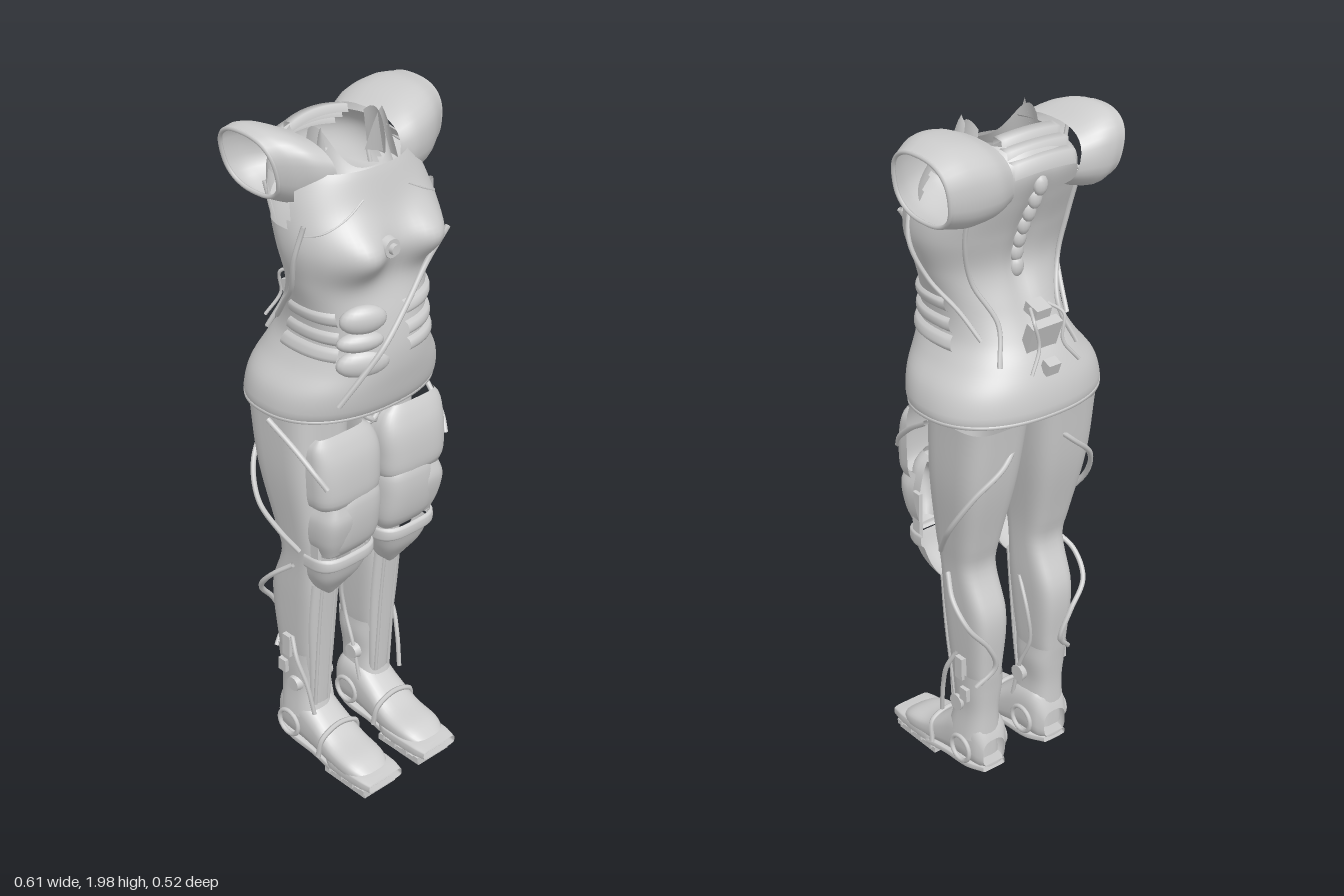
import * as THREE from 'three';

const shell = new THREE.MeshStandardMaterial({ color: 0xcccccc, side: THREE.DoubleSide });
shell.name = 'grey shell';
const MID = -0.035; // mirror plane of the body

function add(parent, name, geometry) {
  const m = new THREE.Mesh(geometry, shell);
  m.name = name;
  parent.add(m);
  return m;
}

// smooth interpolation of rows [t, a0, a1, b0, b1], t rising
function sample(rows, t) {
  let i = 0;
  while (i < rows.length - 2 && t > rows[i + 1][0]) i++;
  const p = rows[i], q = rows[i + 1], h = q[0] - p[0], f = (t - p[0]) / h;
  const before = rows[Math.max(i - 1, 0)], after = rows[Math.min(i + 2, rows.length - 1)];
  return [1, 2, 3, 4].map((k) => {
    const m0 = (q[k] - before[k]) / (q[0] - before[0]) * h;
    const m1 = (after[k] - p[k]) / (after[0] - p[0]) * h;
    const f2 = f * f, f3 = f2 * f;
    return (2 * f3 - 3 * f2 + 1) * p[k] + (f3 - 2 * f2 + f) * m0 + (3 * f2 - 2 * f3) * q[k] + (f3 - f2) * m1;
  });
}
const pw = (v, e) => Math.sign(v) * Math.abs(v) ** e;

// surface through fn(u, v), both 0..1
function grid(fn, nu, nv, closed = false, keep = () => true) {
  const pos = [], idx = [], cols = closed ? nu : nu + 1;
  for (let j = 0; j <= nv; j++) for (let i = 0; i < cols; i++) pos.push(...fn(i / nu, j / nv));
  for (let j = 0; j < nv; j++) for (let i = 0; i < nu; i++) {
    if (!keep((i + 0.5) / nu, (j + 0.5) / nv)) continue;
    const a = j * cols + i, b = j * cols + (i + 1) % cols, c = a + cols, d = b + cols;
    idx.push(a, c, b, b, c, d);
  }
  const g = new THREE.BufferGeometry();
  g.setAttribute('position', new THREE.Float32BufferAttribute(pos, 3));
  g.setIndex(idx);
  g.computeVertexNormals();
  return g;
}

// rounded cross-sections along an axis; half gives an open front plate
function loft(rows, { axis = 'y', e = 0.85, half = false, nu = 32, nv = 24, lean = 0 } = {}) {
  const t0 = rows[0][0], t1 = rows[rows.length - 1][0];
  return grid((u, v) => {
    const t = t0 + (t1 - t0) * v, [a0, a1, b0, b1] = sample(rows, t), w = u * Math.PI * (half ? 1 : 2);
    const a = (a0 + a1) / 2 + (a1 - a0) / 2 * pw(Math.cos(w), e);
    const b = half ? b0 + (b1 - b0) * pw(Math.sin(w), e) : (b0 + b1) / 2 + (b1 - b0) / 2 * pw(Math.sin(w), e);
    if (axis === 'y') return [a, t, b];
    if (axis === 'z') return [a, b, t];
    return [t + lean * (b - 1.89), b, a];
  }, nu, nv, !half);
}

function cable(parent, name, points, r = 0.006, closed = false) {
  const c = new THREE.CatmullRomCurve3(points.map((p) => new THREE.Vector3(...p)), closed);
  return add(parent, name, new THREE.TubeGeometry(c, points.length * 8, r, 6, closed));
}
function box(parent, name, size, at, rot = [0, 0, 0]) {
  const m = add(parent, name, new THREE.BoxGeometry(...size));
  m.position.set(...at);
  m.rotation.set(...rot);
  return m;
}

// torso profile: y, x range, z range
const TORSO = [
  [1.215, -.305, .235, -.245, .16], [1.24, -.31, .24, -.25, .175], [1.3, -.295, .222, -.24, .19],
  [1.36, -.25, .18, -.215, .2], [1.42, -.22, .15, -.18, .2], [1.5, -.22, .15, -.14, .185],
  [1.6, -.245, .18, -.105, .155], [1.7, -.265, .21, -.125, .155], [1.8, -.255, .195, -.165, .14],
  [1.87, -.23, .16, -.19, .122], [1.91, -.195, .125, -.185, .105], [1.945, -.15, .075, -.16, .09],
];
const Y0 = 1.215, TALL = .73;
function body(a, y, out = 0) {
  const [x0, x1, z0, z1] = sample(TORSO, y), c = Math.cos(a), s = Math.sin(a);
  const x = (x0 + x1) / 2 + ((x1 - x0) / 2 + out) * pw(c, 0.88);
  let z = (z0 + z1) / 2 + ((z1 - z0) / 2 + out) * pw(s, 0.88);
  const bump = (cx, cy, rx, ry) => Math.exp(-(((x - cx) / rx) ** 2) - ((y - cy) / ry) ** 2);
  if (s > 0) z += 0.075 * Math.min(1, s * 2) * (bump(MID - .115, 1.69, .085, .075) + bump(MID + .115, 1.69, .085, .075));
  else z += 0.025 * bump(MID, 1.65, .035, .17); // spine groove
  return [x, y, z];
}
const onBody = (list, out = 0.006) => list.map(([deg, y]) => body(deg * Math.PI / 180, y, out));
const band = (y0, y1, d0, d1, out) => grid((u, v) => {
  const y = y0 + (y1 - y0) * v;
  return body((d0 + (d1 - d0) * u) * Math.PI / 180, y, out * Math.sin(Math.PI * v) ** 0.4);
}, 20, 6);

function makeTorso() {
  const g = new THREE.Group();
  g.name = 'torso';
  add(g, 'bodice', grid((u, v) => body(u * Math.PI * 2, Y0 + TALL * v), 80, 64, true, (u, v) => {
    const y = Y0 + TALL * v, a = u * Math.PI * 2, z = body(a, y)[2];
    if (y > 1.885 && Math.sin(a) > 0.55) return false; // neckline
    return !(y > 1.75 && y < 1.86 && z > -.1 && z < .02); // armholes
  }));
  cable(g, 'hem', onBody([...Array(24)].map((_, i) => [i * 15, 1.222]), -.004), 0.008, true);

  // waist bands, belly pads and chest fastener
  [1.39, 1.435, 1.49].forEach((y) => {
    add(g, 'leftWaistBand', band(y, y + .038, -15, 86, .012));
    add(g, 'rightWaistBand', band(y, y + .038, 145, 195, .009));
  });
  [[-.14, 1.51, .065, .04], [-.15, 1.45, .065, .028], [-.14, 1.385, .075, .04]].forEach(([x, y, w, h]) => {
    const pad = add(g, 'bellyPad', new THREE.SphereGeometry(1, 20, 12));
    pad.scale.set(w, h, .028);
    pad.position.set(x, y, .163);
    pad.rotation.y = -.4;
  });
  [[.03, .02, .198], [.016, .03, .206]].forEach(([r, h, z]) => {
    const disc = add(g, 'chestFastener', new THREE.CylinderGeometry(r * .85, r, h, 20));
    disc.rotation.x = Math.PI / 2;
    disc.position.set(-.08, 1.705, z);
  });

  // straps and hoses
  cable(g, 'frontHose', onBody([[55, 1.7], [66, 1.61], [85, 1.52], [108, 1.43], [122, 1.35], [128, 1.28]], .012), .008);
  [1, -1].forEach((s) => {
    const flip = (l) => l.map(([d, y]) => [s > 0 ? d : 180 - d, y]);
    cable(g, 'chestStrap', onBody(flip([[15, 1.74], [35, 1.755], [55, 1.785], [72, 1.82]]), -.001), .003);
    cable(g, 'sideHose', onBody(flip([[22, 1.77], [8, 1.68], [-5, 1.58], [-28, 1.5], [-42, 1.43]])), .007);
    cable(g, 'backHose', onBody(flip([[-40, 1.82], [-48, 1.7], [-50, 1.58], [-60, 1.47], [-55, 1.37]])), .007);
  });

  // spine beads and lower back unit
  for (let i = 0; i < 7; i++) {
    const bead = add(g, 'spineBead', new THREE.SphereGeometry(.022, 12, 8));
    bead.scale.set(1, 1.3, .7);
    const y = 1.59 + i * .042;
    bead.position.set(MID, y, body(-Math.PI / 2, y)[2] - .004);
  }
  box(g, 'backUnit', [.1, .09, .03], [MID, 1.43, -.19], [-.35, 0, 0]);
  box(g, 'backUnitCap', [.05, .03, .05], [MID, 1.5, -.175], [-.3, 0, 0]);
  box(g, 'backUnitTail', [.04, .035, .03], [MID, 1.355, -.23], [-.35, 0, 0]);
  [1, -1].forEach((s) => cable(g, 'backUnitHose',
    [[MID + s * .03, 1.51, -.18], [MID + s * .05, 1.49, -.22], [MID + s * .04, 1.42, -.23], [MID + s * .08, 1.36, -.25]], .005));

  // stepped back yoke and pointed collar
  [[1.915, -.175, .2], [1.94, -.148, .2], [1.963, -.12, .19]].forEach(([y, z, w]) =>
    add(g, 'backYoke', grid((u, v) => {
      const k = 2 * u - 1, row = Math.round(v * 3);
      return [MID - .01 + k * w / 2, y + [-.03, .008, .012, -.01][row] - .01 * k * k, z + [-.022, -.018, .012, .016][row] + .01 * k * k];
    }, 16, 3)));
  add(g, 'collar', grid((u, v) => {
    const a = Math.PI * (-.1 + 1.2 * u), rise = Math.abs(Math.cos(a)) ** 4 * .1;
    const r = .1 + .022 * (1 - v);
    return [MID - .01 + r * Math.cos(a), 1.855 + .03 * v + rise * v, -.005 + r * 1.06 * Math.sin(a)];
  }, 36, 6));
  [1, -1].forEach((s) => {
    add(g, 'collarPoint', grid((u, v) => {
      const w = (1 - v) ** .8, k = 2 * u - 1;
      return [MID - .01 + s * (.104 + .02 * (1 - v) * (1 - k * k)) + s * .012 * k * w, 1.86 + .132 * v, .02 + .05 * k * w];
    }, 8, 8));
    cable(g, 'innerHose', [[MID + s * .02, 1.8, .08], [MID + s * .05, 1.72, .03], [MID + s * .03, 1.62, -.05], [MID - s * .04, 1.5, -.1]], .008);
  });

  // cap sleeves with rims; x, z range, y range
  const sleeves = {
    rightSleeve: [-.25, 0, [[-.272, -.22, 0, 1.8, 1.985], [-.24, -.225, .03, 1.785, 1.993], [-.2, -.22, .06, 1.79, 1.985], [-.15, -.2, .08, 1.8, 1.96]]],
    leftSleeve: [.12, 3, [[.07, -.2, .08, 1.79, 1.96], [.13, -.228, .085, 1.775, 1.985], [.21, -.232, .06, 1.77, 1.995], [.285, -.225, .01, 1.79, 1.98]]],
  };
  for (const [name, [lean, rim, rows]] of Object.entries(sleeves)) {
    add(g, name, loft(rows, { axis: 'x', lean, e: .8 }));
    const [t, a0, a1, b0, b1] = rows[rim];
    cable(g, name + 'Rim', [...Array(20)].map((_, i) => {
      const w = i * Math.PI / 10, y = (b0 + b1) / 2 + (b1 - b0) / 2 * pw(Math.sin(w), .8) * .95;
      return [t + lean * (y - 1.89), y, (a0 + a1) / 2 + (a1 - a0) / 2 * pw(Math.cos(w), .8) * .95];
    }), .006, true);
  }
  return g;
}

function makeLeg(s) {
  const g = new THREE.Group();
  g.name = s > 0 ? 'leftLeg' : 'rightLeg';
  const X = (d) => MID + s * d; // d is the distance outward from the mirror plane
  const side = (rows) => rows.map(([t, a, b, c, d]) => [t, X(s > 0 ? a : b), X(s > 0 ? b : a), c, d]);
  const part = (name, rows, o) => add(g, name, loft(side(rows), o));
  const hose = (name, pts, r) => cable(g, name, pts.map(([d, y, z]) => [X(d), y, z]), r);
  const half = { half: true, e: .6, nu: 20, nv: 14 };

  part('legging', [[.1, .075, .165, -.13, 0], [.25, .085, .155, -.13, 0], [.4, .07, .17, -.145, .01], [.58, .06, .18, -.155, .03],
    [.72, .06, .185, -.105, .035], [.8, .055, .195, -.12, .045], [1, .03, .22, -.17, .05], [1.195, .012, .225, -.2, .05]], { e: .55, nu: 40, nv: 48 });

  // thigh and knee armour, floating just ahead of the leg
  part('upperThighPlate', [[.95, .03, .21, .085, .14], [.97, .012, .23, .085, .158], [1.03, .006, .237, .085, .163], [1.1, .006, .237, .085, .155],
    [1.15, .025, .232, .09, .135], [1.172, .055, .215, .1, .12]], half);
  part('lowerThighPlate', [[.785, .03, .19, .08, .12], [.82, .012, .2, .078, .145], [.9, .008, .2, .08, .163], [.97, .015, .18, .085, .163], [1, .04, .15, .1, .15]], half);
  part('outerThighPlate', [[.8, .13, .2, .072, .13], [.85, .11, .218, .07, .15], [.92, .11, .222, .08, .165], [.965, .135, .205, .09, .155]], half);
  part('kneeBand', [[.75, .012, .218, .05, .135], [.757, .01, .22, .05, .143], [.785, .01, .22, .05, .143], [.79, .014, .216, .05, .135]], half);
  part('kneeCup', [[.615, .105, .13, .03, .05], [.65, .07, .165, .035, .075], [.7, .04, .195, .04, .11], [.75, .02, .21, .05, .13]], half);
  box(g, 'kneeLink', [.012, .14, .03], [X(.205), .84, .085]);

  // shin plate with rails
  part('shinPlate', [[.2, .085, .15, -.01, .008], [.35, .075, .16, 0, .018], [.5, .07, .17, .01, .03], [.65, .07, .17, .025, .045]], { ...half, e: .8 });
  [.095, .145].forEach((d) => hose('shinRail', [[d, .21, .006], [d, .35, .016], [d, .5, .027], [d, .64, .041]], .006));
  part('ankleCuff', [[.16, .06, .18, -.135, .02], [.25, .068, .17, -.135, 0], [.33, .06, .175, -.142, 0], [.38, .062, .178, -.148, .005]], { e: .75 });

  // shoe
  part('shoeUpper', [[-.142, .075, .155, .07, .16], [-.12, .055, .17, .06, .22], [-.04, .048, .178, .06, .225], [.02, .045, .178, .055, .185],
    [.1, .04, .182, .05, .13], [.19, .045, .18, .045, .105], [.235, .07, .155, .05, .075]], { axis: 'z', e: .7 });
  part('sole', [[-.142, .075, .155, .058, .08], [-.08, .052, .172, .05, .075], [.02, .052, .172, .042, .065], [.1, .045, .18, .035, .06]], { axis: 'z', e: .4 });
  part('toePlatform', [[.07, .05, .165, .045, .075], [.1, .037, .18, .042, .08], [.22, .037, .18, .042, .08], [.264, .045, .172, .045, .075]], { axis: 'z', e: .4 });
  box(g, 'toeTread', [.12, .018, .17], [X(.108), .022, .155]);
  for (let i = 0; i < 4; i++) box(g, 'treadBar', [.135, .016, .018], [X(.108), .036, .09 + i * .048]);
  hose('instepStrap', [[.035, .07, .06], [.045, .135, .07], [.11, .158, .07], [.175, .135, .07], [.185, .07, .06]], .008);
  [.047, .182].forEach((d) => {
    const ring = add(g, 'heelRing', new THREE.TorusGeometry(.04, .007, 8, 20));
    ring.rotation.y = Math.PI / 2;
    ring.position.set(X(d), .12, -.07);
    const pivot = add(g, 'anklePivot', new THREE.CylinderGeometry(.022, .026, .02, 16));
    pivot.rotation.z = Math.PI / 2;
    pivot.position.set(X(d * .86 + .016), .27, -.05);
  });
  box(g, 'ankleClip', [.018, .07, .03], [X(.178), .4, -.07]);
  box(g, 'ankleClip', [.014, .04, .03], [X(.18), .32, -.09]);

  // hoses around the leg
  hose('hipHose', [[.262, 1.195, -.035], [.25, 1.14, .05], [.235, 1.08, .12], [.22, 1.04, .15]], .008);
  hose('thighHose', [[.03, 1.16, -.15], [.12, 1.08, -.19], [.205, 1, -.165], [.24, .9, -.11], [.22, .82, -.05], [.19, .76, 0]], .008);
  hose('calfHose', [[.19, .7, -.03], [.22, .65, -.09], [.21, .58, -.145], [.15, .5, -.16], [.12, .42, -.153], [.17, .36, -.13]], .008);
  hose('ankleHose', [[.18, .44, -.05], [.19, .38, -.02], [.18, .3, .01], [.17, .2, .03]], .007);
  hose('innerCalfHose', [[.06, .6, -.04], [.05, .5, -.09], [.06, .4, -.09], [.055, .3, -.05], [.055, .18, -.02]], .006);
  hose('crotchHose', [[.045, 1.19, .06], [.01, 1.15, .09], [-.03, 1.13, .08]], .008);
  return g;
}

export function createModel() {
  const model = new THREE.Group();
  model.name = 'armouredSuit';
  model.add(makeTorso(), makeLeg(1), makeLeg(-1));
  return model;
}
